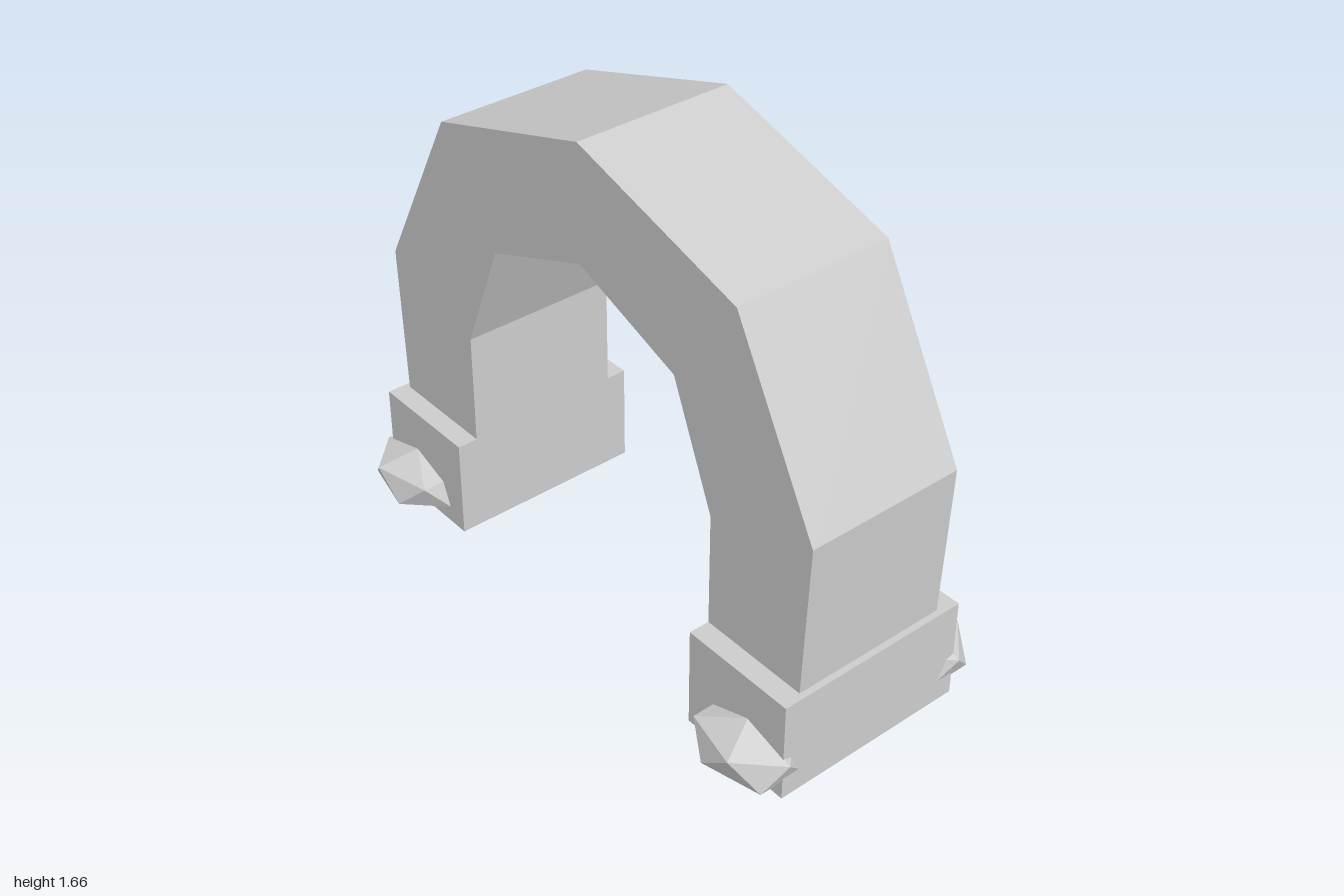
import * as THREE from 'three';

export function createModel() {
  const model = new THREE.Group();
  model.name = 'stoneArch';
  const stone = new THREE.MeshStandardMaterial({ color: 0xcccccc });
  stone.name = 'light grey stone';

  const add = (geometry, name, x, y, z) => {
    const mesh = new THREE.Mesh(geometry, stone);
    mesh.name = name;
    mesh.position.set(x, y, z);
    model.add(mesh);
  };

  // Faceted arch: half profiles from the springing line to the crown, mirrored
  const outer = [[0.952, 0.345], [0.973, 0.865], [0.655, 1.457]];
  const inner = [[0.57, 0.345], [0.57, 0.73], [0.41, 1.12]];
  const flip = (pts) => pts.map(([x, y]) => [-x, y]).reverse();
  const outline = [
    ...outer, [0, 1.66], ...flip(outer),
    ...flip(inner).reverse(), [0, 1.277], ...inner.slice().reverse(),
  ];
  const shape = new THREE.Shape(outline.map(([x, y]) => new THREE.Vector2(x, y)));
  const depth = 0.54;
  add(new THREE.ExtrudeGeometry(shape, { depth, bevelEnabled: false }), 'arch', 0, 0, -depth / 2);

  // Vertex-up squashed icosahedron, its upper ring pointing outwards
  const tilt = Math.atan(2 / (1 + Math.sqrt(5)));
  const rock = (side) => new THREE.IcosahedronGeometry(1, 0)
    .rotateZ(-side * tilt)
    .scale(0.2, 0.096, 0.146);

  for (const side of [1, -1]) {
    const label = side > 0 ? 'left' : 'right';
    // Plinth under each leg
    add(new THREE.BoxGeometry(0.403, 0.345, 0.68), label + 'Plinth', side * 0.7715, 0.1725, 0);
    // Rocks half sunk into the front and back of the plinth
    for (const end of [1, -1]) {
      add(rock(side), label + (end > 0 ? 'FrontRock' : 'BackRock'), side * 0.821, 0.101, end * 0.338);
    }
  }
  return model;
}
